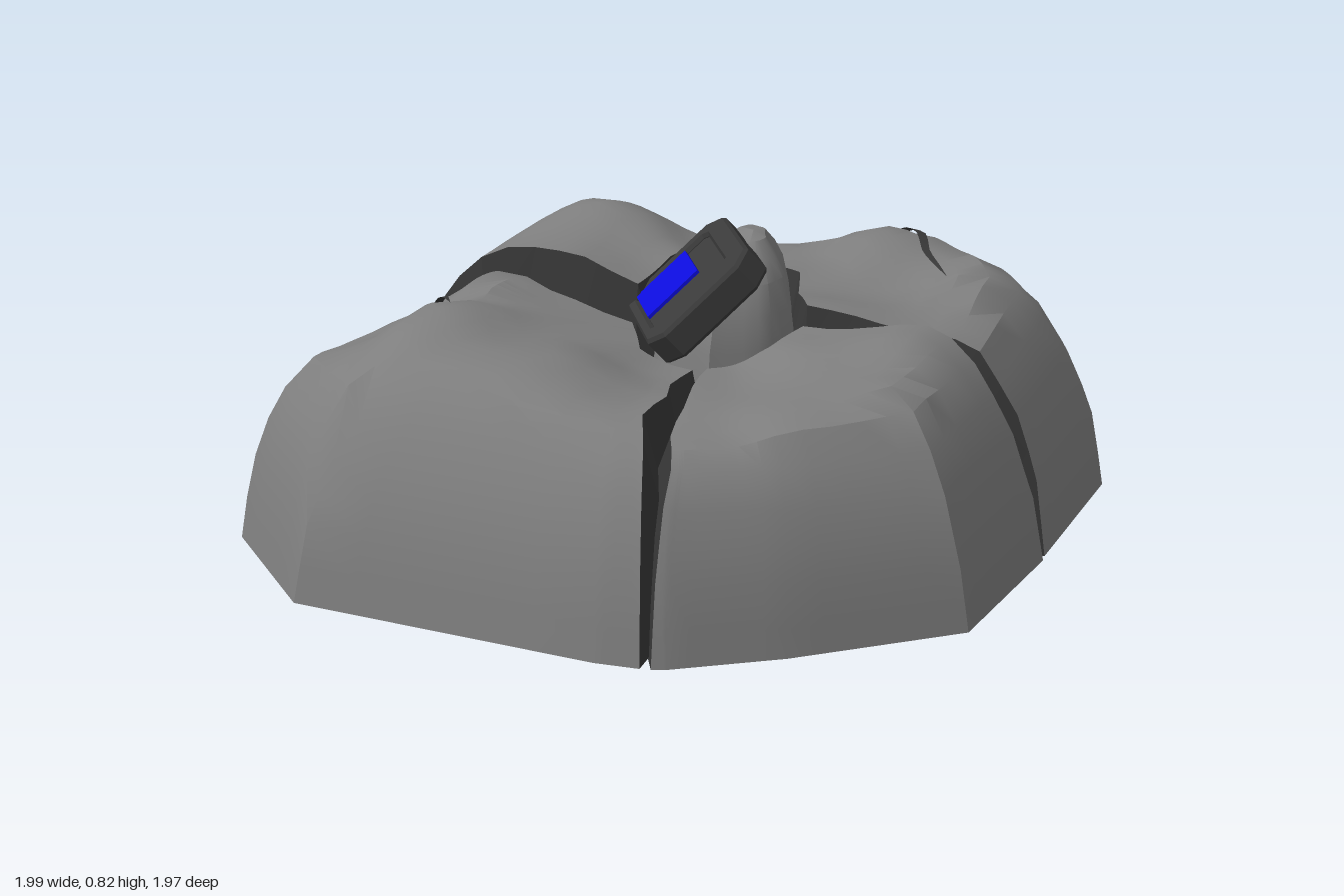
import * as THREE from 'three';
import { toCreasedNormals } from 'three/addons/utils/BufferGeometryUtils.js';

const mat = (name, color, side = THREE.FrontSide) => {
  const m = new THREE.MeshStandardMaterial({ color, side });
  m.name = name;
  return m;
};
const rock = mat('grey rock', 0x7e7e7e);
const dark = mat('dark crevice', 0x373737, THREE.DoubleSide);
const metal = mat('dark metal', 0x3a3a3a);
const blue = mat('blue gem', 0x0c0cdc);

const add = (group, name, geometry, material) => {
  const m = new THREE.Mesh(geometry, material);
  m.name = name;
  group.add(m);
  return m;
};

// Surface through rows of [x, y, z] points
function grid(rows, crease = 0.5) {
  const n = rows[0].length, index = [];
  for (let i = 0; i < rows.length - 1; i++)
    for (let j = 0; j < n - 1; j++) {
      const a = i * n + j, b = a + n;
      index.push(a, b, b + 1, a, b + 1, a + 1);
    }
  const g = new THREE.BufferGeometry();
  g.setAttribute('position', new THREE.Float32BufferAttribute(rows.flat(2), 3));
  g.setIndex(index);
  return toCreasedNormals(g, crease);
}

// Point at fraction s of a polyline's length
function at(poly, s) {
  const len = poly.slice(1).map((p, i) => Math.hypot(p[0] - poly[i][0], p[1] - poly[i][1]));
  let d = s * len.reduce((a, b) => a + b, 0);
  for (let i = 0; i < len.length; i++) {
    if (d <= len[i] || i === len.length - 1) {
      const k = Math.min(1, d / len[i]);
      return [0, 1].map(c => poly[i][c] + (poly[i + 1][c] - poly[i][c]) * k);
    }
    d -= len[i];
  }
}

function distance(x, z, poly) {
  let best = 9;
  for (let i = 0; i < poly.length - 1; i++) {
    const [ax, az] = poly[i], dx = poly[i + 1][0] - ax, dz = poly[i + 1][1] - az;
    const k = THREE.MathUtils.clamp(((x - ax) * dx + (z - az) * dz) / (dx * dx + dz * dz), 0, 1);
    best = Math.min(best, Math.hypot(x - ax - k * dx, z - az - k * dz));
  }
  return best;
}

// Rounded shoulder: height allowed by distance from the rim
const shoulder = [[0, 0], [0.03, 0.2], [0.09, 0.38], [0.2, 0.56], [0.36, 0.71], [0.6, 0.9], [9, 1]];
function rise(d) {
  const i = shoulder.findIndex(p => p[0] > d), [a, h] = shoulder[i - 1], [b, k] = shoulder[i];
  return h + (k - h) * (d - a) / (b - a);
}

// Main cracks [x, z] from the centre outward, and their half widths
const cracks = [
  [[0.16, 0.27], [0.17, 0.4], [0.22, 0.55], [0.23, 0.68], [0.29, 0.8], [0.33, 0.96]],
  [[0.34, 0], [0.5, -0.02], [0.66, -0.05], [0.8, -0.06], [0.94, -0.08], [0.99, -0.09]],
  [[0, -0.36], [-0.02, -0.5], [-0.01, -0.6], [-0.04, -0.7], [-0.03, -0.76], [-0.02, -0.8]],
  [[-0.12, 0.07], [-0.3, 0.08], [-0.45, 0.06], [-0.6, 0.09], [-0.75, 0.06], [-0.9, 0.04]],
];
const halfWidths = [0.02, 0.03, 0.022, 0.034, 0.036, 0.014];
// Boulders between the cracks: inner corner points, rim points, top heights [x, z, y]
const boulders = [
  { name: 'frontLeftBoulder', inner: [[0.31, 0.15]],
    rim: [[0.38, 0.94], [0.62, 0.76], [0.97, 0.43]],
    tops: [[0.2, 0.3, 0.52], [0.36, 0.05, 0.58], [0.7, 0, 0.63], [0.7, 0.3, 0.58], [0.4, 0.7, 0.49],
      [0.55, 0.5, 0.54], [0.5, 0, 0.61]] },
  { name: 'backLeftBoulder', inner: [[0.27, -0.12], [0.2, -0.3]],
    rim: [[0.97, -0.65], [0.82, -0.81], [0.54, -0.99], [0.12, -0.99]],
    tops: [[0.3, -0.6, 0.68], [0.66, -0.45, 0.65], [0.36, -0.05, 0.63], [0.05, -0.36, 0.62],
      [0.66, -0.1, 0.58], [0.2, -0.3, 0.61], [0.5, -0.25, 0.58]] },
  { name: 'backRightBoulder', inner: [[-0.11, -0.14]],
    rim: [[-0.1, -0.75], [-0.65, -0.73], [-0.91, -0.48]],
    tops: [[-0.35, -0.25, 0.79], [-0.13, 0, 0.64], [-0.05, -0.36, 0.64], [-0.5, 0.02, 0.7],
      [-0.3, 0.02, 0.7], [-0.45, -0.1, 0.74], [-0.55, -0.4, 0.72], [-0.05, -0.6, 0.56]] },
  { name: 'frontRightBoulder', inner: [[-0.02, 0.25]],
    rim: [[-0.92, 0.12], [-1, 0.38], [-1, 0.67], [-0.65, 0.98], [0.2, 0.98]],
    tops: [[-0.48, 0.5, 0.7], [-0.48, 0.17, 0.67], [-0.3, 0.12, 0.6], [-0.13, 0.1, 0.55],
      [0.15, 0.3, 0.51], [0.15, 0.7, 0.55], [-0.2, 0.6, 0.62],
      [-0.73, 0.15, 0.53], [-0.74, 0.37, 0.53], [-0.73, 0.6, 0.53], [-0.88, 0.35, 0.43]] },
];
const steps = [0, 0.1, 0.2, 0.3, 0.4, 0.5, 0.6, 0.7, 0.78, 0.86, 0.91, 0.95, 0.98, 1];

// One lip of a crack, offset sideways from its centre line
const lip = (line, side) => line.map((p, i) => {
  const a = line[Math.max(0, i - 1)], b = line[Math.min(line.length - 1, i + 1)];
  const dx = b[0] - a[0], dz = b[1] - a[1], w = side * halfWidths[i] / Math.hypot(dx, dz);
  return [p[0] + dz * w, p[1] - dx * w];
});

// Foot of the walls around the core
const foot = ([x, y, z]) => [0.1 + (x - 0.1) * 0.8, y - 0.2, -0.02 + (z + 0.02) * 0.8];

// Blended top heights, softly limited by the shoulder
function height(b, x, z) {
  let sum = 0, weight = 0;
  for (const [px, pz, y] of b.tops) {
    const w = 1 / (Math.hypot(x - px, z - pz) ** 3 + 0.001);
    sum += w * y;
    weight += w;
  }
  const top = sum / weight + 0.007 * Math.sin(17 * x + 5 * z) * Math.sin(15 * z - 4 * x);
  const side = rise(distance(x, z, b.outer)), soft = Math.max(0, 0.08 - Math.abs(top - side));
  return Math.min(top, side) - soft * soft / 0.32;
}

export function createModel() {
  const model = new THREE.Group();
  model.name = 'rockMound';

  boulders.forEach((b, k) => {
    b.A = lip(cracks[k], 1);
    b.B = lip(cracks[(k + 1) % 4], -1);
    b.outer = [b.A.at(-1), ...b.rim, b.B.at(-1)];
    const inner = [b.A[0], ...b.inner, b.B[0]];
    // Rim samples that keep every outline corner, with their share of the rim length
    const outer = [[...b.outer[0], 0]];
    for (let i = 0; i < b.outer.length - 1; i++) {
      const [p, q] = [b.outer[i], b.outer[i + 1]], start = outer.at(-1)[2];
      for (let s = 0.2; s < 1.1; s += 0.2)
        outer.push([p[0] + (q[0] - p[0]) * s, p[1] + (q[1] - p[1]) * s,
          start + s * Math.hypot(q[0] - p[0], q[1] - p[1])]);
    }
    const end = outer.at(-1);
    const rows = steps.map(t => {
      const a = at(b.A, t), e = at(b.B, t);
      return outer.map(o => {
        const u = o[2] / end[2], q = at(inner, u);
        const [x, z] = [0, 1].map(c => (1 - t) * q[c] + t * o[c] + (1 - u) * a[c] + u * e[c]
          - (1 - t) * ((1 - u) * inner[0][c] + u * inner.at(-1)[c])
          - t * ((1 - u) * outer[0][c] + u * end[c]));
        return [x, t === 1 ? 0 : height(b, x, z), z];
      });
    });
    add(model, b.name, grid(rows), rock);
    // Dark wall facing the core
    add(model, b.name + 'InnerWall', grid([rows[0].map(foot), rows[0]]), dark);
  });

  // V-shaped crevices between boulders
  cracks.forEach((line, k) => {
    const prev = boulders[(k + 3) % 4], next = boulders[k];
    const rows = steps.map(t => {
      const edge = (b, poly) => {
        const [x, z] = at(poly, t);
        return [x, t === 1 ? 0 : height(b, x, z), z];
      };
      const l = edge(prev, prev.B), r = edge(next, next.A), c = at(line, t), pull = 1 - 0.06 * t;
      return [l, [c[0] * pull, Math.max(0, Math.min(l[1], r[1]) - 0.1), c[1] * pull], r];
    });
    rows.unshift(rows[0].map(foot));
    add(model, 'crevice', grid(rows, 0.3), dark);
  });

  // Small surface cracks, widest in the middle
  const slits = [
    [3, [[-0.66, 0.27], [-0.57, 0.37], [-0.53, 0.4], [-0.44, 0.5]]],
    [1, [[0.23, -0.84], [0.34, -0.71], [0.43, -0.62], [0.48, -0.52], [0.59, -0.39]]],
    [1, [[0.58, -0.88], [0.65, -0.78], [0.7, -0.67]]],
  ];
  for (const [k, line] of slits) {
    const a = line[0], e = line.at(-1), len = Math.hypot(e[0] - a[0], e[1] - a[1]);
    const rows = Array.from({ length: 17 }, (_, i) => {
      const [x, z] = at(line, i / 16), w = 0.013 * Math.sin(Math.PI * i / 16) / len;
      return [-1, 0, 1].map(s => {
        const px = x + s * w * (e[1] - a[1]), pz = z - s * w * (e[0] - a[0]);
        return [px, height(boulders[k], px, pz) + 0.008, pz];
      });
    });
    add(model, 'surfaceCrack', grid(rows), dark);
  }

  // Core stone, cut back beneath the tilted setting
  const loop = boulders.flatMap((b, k) => [cracks[k][0], ...b.inner]);
  loop.push(loop[0]);
  const core = [[0.86, 0.38], [0.82, 0.54], [0.75, 0.62], [0.62, 0.7], [0.45, 0.75], [0.25, 0.79], [0, 0.8]]
    .map(([s, y]) => Array.from({ length: 33 }, (_, j) => {
      const p = at(loop, j / 32), x = 0.16 + (p[0] - 0.16) * s, z = -0.07 + (p[1] + 0.07) * s;
      return [x, Math.min(y, 0.6 + 0.757 * (x + 0.02) - 0.5 * (z - 0.085)), z];
    })).reverse();
  add(model, 'coreStone', grid(core), rock);

  // Dark floor closing the gap around the core
  const floor = new THREE.Shape(loop.slice(0, -1).map(([x, z]) =>
    new THREE.Vector2(0.1 + (x - 0.1) * 1.3, -0.02 + (z + 0.02) * 1.3)));
  add(model, 'gapFloor', new THREE.ShapeGeometry(floor).rotateX(Math.PI / 2), dark).position.y = 0.41;

  // Tilted setting with a blue gem
  const setting = new THREE.Group();
  setting.name = 'gemSetting';
  const across = new THREE.Vector3(0.573, 0.027, 0.819);
  const out = across.clone().cross(new THREE.Vector3(0.589, 0.673, -0.449)).normalize();
  const up = out.clone().cross(across);
  setting.applyMatrix4(new THREE.Matrix4().makeBasis(across, up, out).setPosition(-0.02, 0.672, 0.085));
  const octagon = (C, x0, x1, y0, y1, c) => new C([[x0 + c, y0], [x1 - c, y0], [x1, y0 + c], [x1, y1 - c],
    [x1 - c, y1], [x0 + c, y1], [x0, y1 - c], [x0, y0 + c]].map(p => new THREE.Vector2(...p)));
  const frame = octagon(THREE.Shape, -0.135, 0.25, -0.12, 0.22, 0.045);
  frame.holes.push(octagon(THREE.Path, -0.105, 0.18, -0.1, 0.17, 0.02));
  add(setting, 'gemFrame', new THREE.ExtrudeGeometry(frame, {
    depth: 0.07, bevelSize: 0.008, bevelThickness: 0.01, bevelSegments: 1,
  }), metal).position.z = -0.083;
  add(setting, 'gemBacking', new THREE.BoxGeometry(0.3, 0.29, 0.03), metal).position.set(0.04, 0.04, -0.03);
  add(setting, 'gem', new THREE.BoxGeometry(0.183, 0.178, 0.009), blue).position.z = -0.003;
  model.add(setting);

  // Flat underside
  const shape = new THREE.Shape(boulders.flatMap(b => b.outer).map(([x, z]) => new THREE.Vector2(x, z)));
  add(model, 'underside', new THREE.ShapeGeometry(shape).rotateX(Math.PI / 2), rock);
  return model;
}
